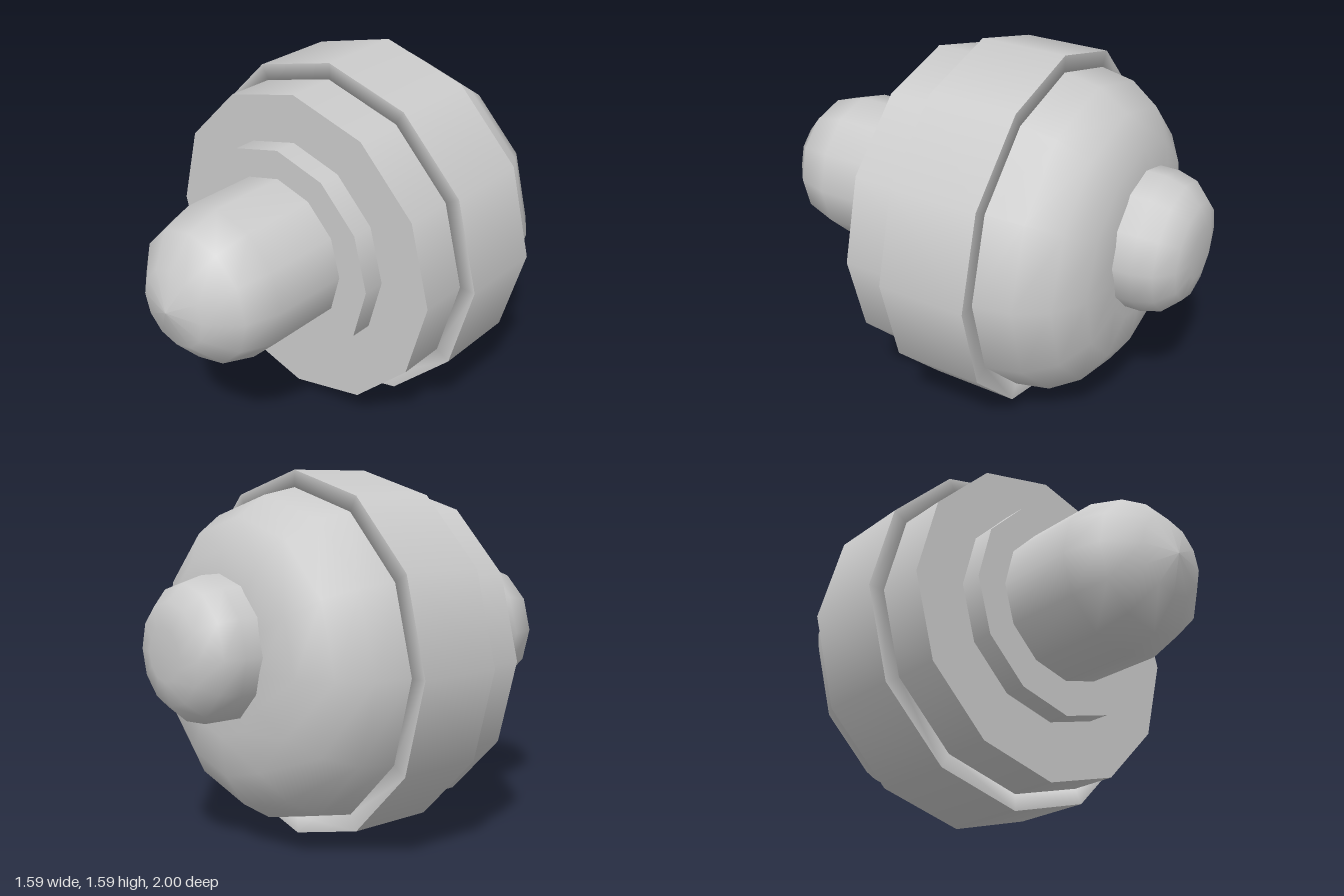
import * as THREE from 'three';

const SIDES = 12;

export function createModel() {
  const model = new THREE.Group();
  const material = new THREE.MeshStandardMaterial({ color: 0xcccccc });

  // Every part is turned about an axis along z, at its own height
  const add = (name, geometry, height) => {
    const mesh = new THREE.Mesh(geometry.rotateX(Math.PI / 2), material);
    mesh.name = name;
    mesh.position.y = height;
    model.add(mesh);
  };
  const disc = (name, radius, back, front, height, open = false) => {
    const geometry = new THREE.CylinderGeometry(radius, radius, front - back, SIDES, 1, open);
    add(name, geometry.translate(0, (back + front) / 2, 0), height);
  };
  // Profile points are [radius, z], running from back to front
  const turned = (name, profile, height) => {
    const points = profile.map(([r, z]) => new THREE.Vector2(r, z));
    add(name, new THREE.LatheGeometry(points, SIDES), height);
  };

  // Main drum with its raised band
  const axis = 0.793;
  disc('drum', 0.72, -0.35, 0.26, axis);
  disc('bandOuterWall', 0.793, -0.35, 0.04, axis, true);
  // Band rims blend softly into the inner wall
  turned('bandRims', [[0.793, 0.04], [0.72, 0.04], [0.72, -0.35], [0.793, -0.35]], axis);

  // Rounded back
  turned('backDome', [
    [0, -0.75], [0.29, -0.75], [0.47, -0.72], [0.605, -0.635], [0.69, -0.505], [0.72, -0.35],
  ], axis);

  // Stepped front plate
  disc('frontPlate', 0.483, 0.2, 0.36, 0.817);

  // Nose: a shaft with a three-step rounded end
  const nose = [[0.34, 0.3], [0.34, 0.7]];
  for (let i = 1; i <= 3; i++) {
    const a = (i * Math.PI) / 6;
    nose.push([0.34 * Math.cos(a), 0.7 + 0.3 * Math.sin(a)]);
  }
  turned('nose', nose, 0.83);

  // Small rounded knob at the back
  turned('backKnob', [
    [0, -1], [0.11, -1], [0.21, -0.975], [0.278, -0.905], [0.303, -0.82], [0.305, -0.65],
  ], 0.865);

  return model;
}
